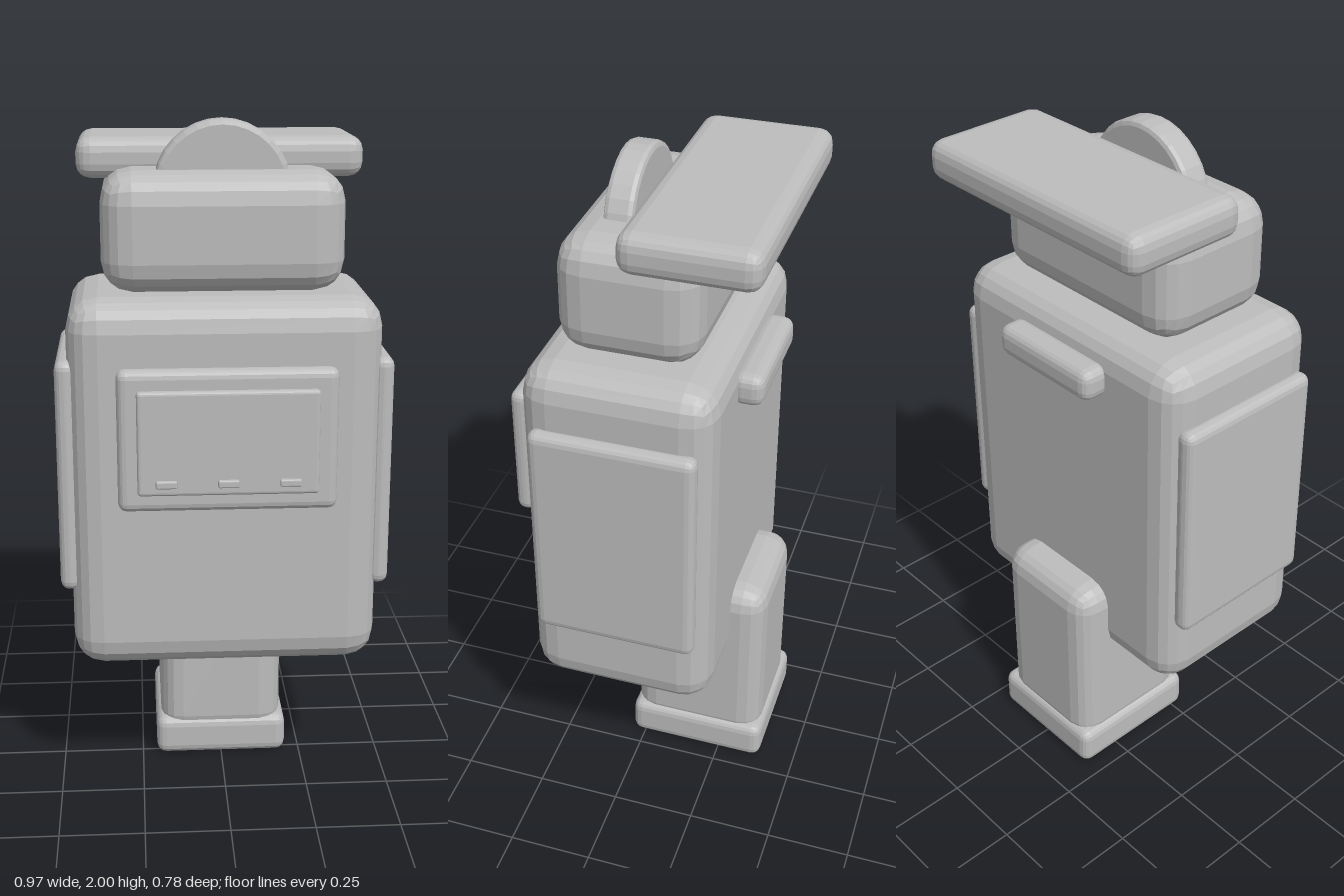
import * as THREE from 'three';
import { RoundedBoxGeometry } from 'three/addons/geometries/RoundedBoxGeometry.js';

export function createModel() {
  const model = new THREE.Group();
  model.name = 'robot';
  const grey = new THREE.MeshStandardMaterial({ color: 0xbcbcbc, flatShading: true });
  grey.name = 'grey';

  // Rounded block given by its extents along each axis
  function block(name, [x0, x1], [y0, y1], [z0, z1], radius) {
    const geometry = new RoundedBoxGeometry(x1 - x0, y1 - y0, z1 - z0, 2, radius);
    const mesh = new THREE.Mesh(geometry, grey);
    mesh.name = name;
    mesh.position.set((x0 + x1) / 2, (y0 + y1) / 2, (z0 + z1) / 2);
    model.add(mesh);
  }

  // Foot and leg
  block('foot', [-0.205, 0.205], [0, 0.125], [-0.39, 0.04], 0.03);
  block('leg', [-0.19, 0.19], [0.06, 0.665], [-0.378, 0.035], 0.07);

  // Body, with a panel on each side
  block('body', [-0.45, 0.45], [0.415, 1.52], [-0.275, 0.28], 0.09);
  block('leftPanel', [0.425, 0.485], [0.655, 1.345], [-0.24, 0.24], 0.027);
  block('rightPanel', [-0.485, -0.425], [0.655, 1.345], [-0.24, 0.24], 0.027);
  block('backHandle', [-0.19, 0.19], [1.35, 1.447], [-0.345, -0.25], 0.032);

  // Head and the flat plate above it
  block('head', [-0.347, 0.347], [1.52, 1.862], [-0.202, 0.206], 0.09);
  block('headPlate', [-0.416, 0.416], [1.825, 1.942], [-0.381, 0.003], 0.042);

  // Upright disc with a bevelled rim, half sunk in the head
  const circle = new THREE.Shape().absarc(0, 0, 0.181, 0, Math.PI * 2, false);
  const discGeometry = new THREE.ExtrudeGeometry(circle, {
    depth: 0.055, curveSegments: 16, bevelSize: 0.015, bevelThickness: 0.015, bevelSegments: 2,
  });
  const disc = new THREE.Mesh(discGeometry, grey);
  disc.name = 'disc';
  disc.position.set(0, 1.804, 0.04);
  model.add(disc);

  // Control screen standing off the chest, with three buttons
  block('screenFrame', [-0.31, 0.31], [0.935, 1.345], [0.298, 0.358], 0.025);
  block('screen', [-0.255, 0.255], [0.99, 1.29], [0.345, 0.378], 0.01);
  for (const x of [-0.174, 0, 0.174]) {
    block('button', [x - 0.03, x + 0.03], [1.015, 1.037], [0.37, 0.39], 0.005);
  }

  return model;
}
